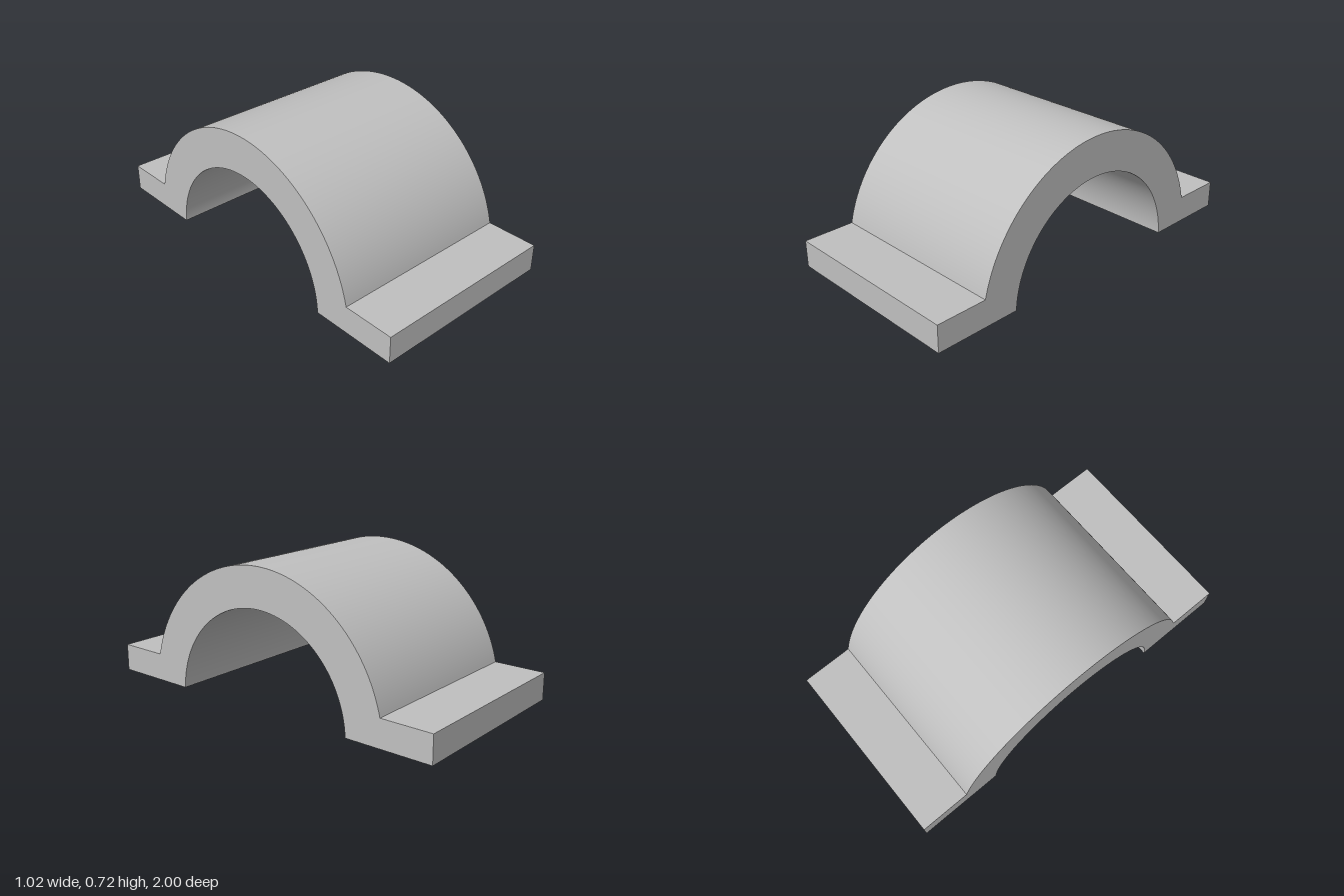
import * as THREE from 'three';
import { toCreasedNormals } from 'three/addons/utils/BufferGeometryUtils.js';

export function createModel() {
  const model = new THREE.Group();
  model.name = 'saddleClamp';
  const grey = new THREE.MeshStandardMaterial({ color: 0xc0c0c0 });
  grey.name = 'grey';

  const width = 1.02;
  const flangeTop = 0.145;
  const centreY = -0.024; // shared centre of both arcs, just below the base
  const outerR = 0.744;
  const innerR = 0.534;
  const outerAngle = Math.asin((flangeTop - centreY) / outerR);
  const innerAngle = Math.asin(-centreY / innerR);

  // Arch profile with a flat flange on each side
  const profile = new THREE.Shape();
  profile.moveTo(1, 0);
  profile.lineTo(1, flangeTop);
  profile.absarc(0, centreY, outerR, outerAngle, Math.PI - outerAngle, false);
  profile.lineTo(-1, flangeTop);
  profile.lineTo(-1, 0);
  profile.absarc(0, centreY, innerR, Math.PI - innerAngle, innerAngle, true);
  profile.closePath();

  // Extrude along the width, then turn the profile into the zy plane
  const geometry = new THREE.ExtrudeGeometry(profile, {
    depth: width, bevelEnabled: false, curveSegments: 64,
  });
  geometry.translate(0, 0, -width / 2);
  geometry.rotateY(-Math.PI / 2);

  const clamp = new THREE.Mesh(toCreasedNormals(geometry, 0.5), grey);
  clamp.name = 'archWithFlanges';
  model.add(clamp);
  return model;
}
